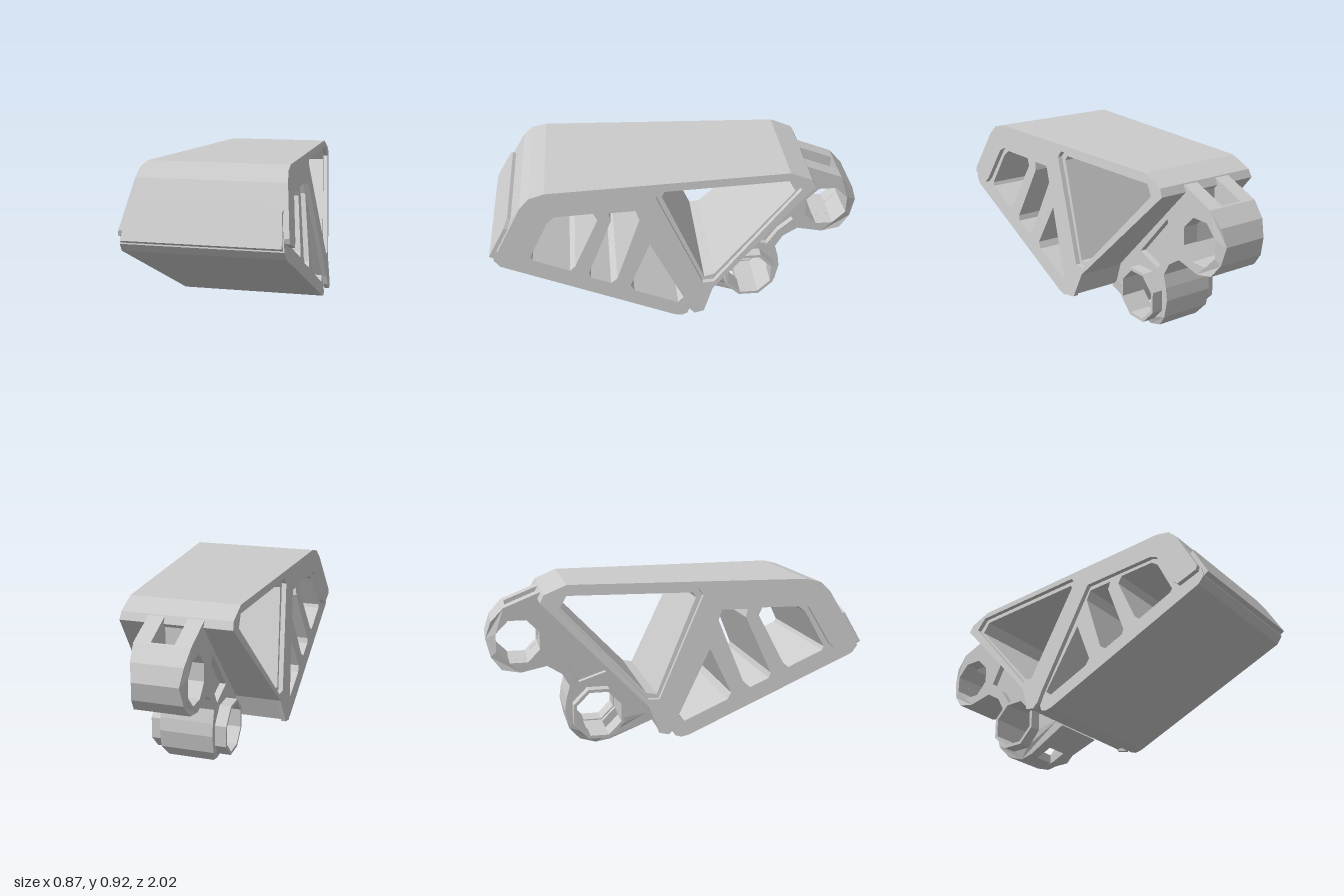
import * as THREE from 'three';

const mat = new THREE.MeshStandardMaterial({ color: 0xcccccc, flatShading: true });
const pts = (list) => list.map(([z, y]) => new THREE.Vector2(z, y));

// Ring of points around a pin centre
function ring(z, y, r, n = 8) {
  return Array.from({ length: n }, (_, i) => {
    const a = ((i + 0.5) / n) * Math.PI * 2;
    return [z + r * Math.cos(a), y + r * Math.sin(a)];
  });
}

// Side profile (z, y) carried across x between two width rules hi(z, y) and lo(z, y)
function prism(name, outline, holes, hi, lo) {
  const shape = new THREE.Shape(pts(outline));
  shape.holes = holes.map((h) => new THREE.Path(pts(h)));
  const geo = new THREE.ExtrudeGeometry(shape, { depth: 1, bevelEnabled: false });
  const p = geo.attributes.position;
  for (let i = 0; i < p.count; i++) {
    const z = p.getX(i), y = p.getY(i), t = p.getZ(i);
    p.setXYZ(i, THREE.MathUtils.lerp(hi(z, y), lo(z, y), t), y, z);
  }
  geo.computeVertexNormals();
  const mesh = new THREE.Mesh(geo, mat);
  mesh.name = name;
  return mesh;
}

// Same prism on both sides of the centre plane
function pair(name, outline, holes, outer, inner) {
  const neg = (f) => (z, y) => -f(z, y);
  return [
    prism(name + 'Left', outline, holes, outer, inner),
    prism(name + 'Right', outline, holes, neg(inner), neg(outer)),
  ];
}

export function createModel() {
  const group = new THREE.Group();
  group.name = 'bracket';

  // Tapered half widths of the side frames and of the inset core
  const frameW = (z, y) => 0.443 + 0.058 * z - 0.129 * y;
  const coreW = (z, y) => frameW(z, y) - 0.026;

  // Core with through windows
  const windows = [
    [[0.8, 0.55], [0.7, 0.74], [0.66, 0.77], [0.46, 0.77], [0.44, 0.73], [0.57, 0.47], [0.6, 0.445], [0.79, 0.53]],
    [[0.38, 0.765], [0.24, 0.765], [0.22, 0.71], [0.35, 0.37], [0.385, 0.345], [0.49, 0.39], [0.5, 0.42], [0.37, 0.72]],
    [[0.17, 0.56], [0.28, 0.32], [0.26, 0.285], [0.02, 0.18], [-0.01, 0.21]],
    [[0.1, 0.835], [0.085, 0.86], [-0.58, 0.86], [-0.615, 0.8], [-0.18, 0.34], [-0.125, 0.33]],
  ];
  const core = [
    [0.96, 0.51], [0.99, 0.55], [0.975, 0.6], [0.83, 0.85], [0.78, 0.9], [0.7, 0.92], [-0.58, 0.92], [-0.7, 0.87],
    [-0.72, 0.83], [-0.17, 0.27], [-0.12, 0.14], [-0.05, 0.15], [-0.03, 0.105], [0, 0.095], [0.04, 0.103],
  ];
  group.add(prism('bodyCore', core, windows, coreW, (z, y) => -coreW(z, y)));

  // Raised outer frames: top rail, front column, diagonal and rear triangle
  const frame = [
    [0.965, 0.61], [0.83, 0.85], [0.78, 0.9], [0.7, 0.92], [-0.58, 0.92], [-0.7, 0.87], [-0.72, 0.83],
    [-0.17, 0.27], [-0.12, 0.13], [-0.07, 0.12], [-0.04, 0.15], [-0.025, 0.2], [0.225, 0.76], [0.24, 0.79],
    [0.67, 0.79], [0.71, 0.77], [0.82, 0.575], [0.85, 0.545], [0.92, 0.57], [0.96, 0.585],
  ];
  const frameHole = [[0.135, 0.85], [0.11, 0.885], [-0.595, 0.885], [-0.645, 0.82], [-0.175, 0.31], [-0.115, 0.31]];
  group.add(...pair('sideFrame', frame, [frameHole], frameW, coreW));

  // Raised lip on the front slope
  const lip = new THREE.Mesh(
    new THREE.ExtrudeGeometry(
      new THREE.Shape(pts([[-0.395, 0], [0.395, 0], [0.375, 0.185], [0.33, 0.225], [-0.33, 0.225], [-0.375, 0.185]])),
      { depth: 0.03, bevelEnabled: false },
    ), mat);
  lip.name = 'frontLip';
  lip.rotation.x = -0.51;
  lip.position.set(0, 0.555, 0.985);
  group.add(lip);

  // Rear mount: two pin knuckles joined by a web, chamfered at the ends
  const upper = [-0.83, 0.6], lower = [-0.41, 0.19];
  const top = [[-0.14, 0.16], [-0.19, 0.31], [-0.66, 0.81], [-0.7, 0.865]];
  const back = [
    [-0.9, 0.785], [-0.97, 0.71], [-1, 0.62], [-0.975, 0.52], [-0.92, 0.45], [-0.82, 0.43], [-0.68, 0.46],
    [-0.6, 0.41], [-0.56, 0.34], [-0.58, 0.27], [-0.59, 0.2], [-0.57, 0.1], [-0.51, 0.03], [-0.42, 0],
  ];
  const end = [[-0.34, 0.015], [-0.1, 0.12]];
  const pocket = [[-0.58, 0.65], [-0.65, 0.52], [-0.57, 0.45], [-0.51, 0.36], [-0.36, 0.41]];
  const pins = [ring(...upper, 0.125), ring(...lower, 0.14)];
  const outline = [...top, ...back, ...end];
  const flat = (w) => () => w;
  const mountW = (z, y) => Math.min(0.145, 0.115 + 0.35 * y, 0.12 + 0.5 * (z + 1));
  group.add(...pair('mountCheek', outline, pins, flat(0.11), flat(0.06)));
  group.add(...pair('mountFace', outline, [...pins, pocket], mountW, flat(0.11)));

  // Middle slice, with slots opening into both pin holes
  const topSlot = [
    [-0.7, 0.65], [-0.715, 0.55], [-0.78, 0.485], [-0.88, 0.485], [-0.945, 0.55], [-0.945, 0.65], [-0.89, 0.71], [-0.89, 0.79],
  ];
  const o = pins[1];
  const lowSlot = [[-0.356, 0.013], o[6], o[5], o[4], o[3], o[2], o[1], o[0], o[7], [-0.26, 0.05], [-0.1, 0.12]];
  group.add(prism('mountMiddle', [...top, ...topSlot, ...back, ...lowSlot], [], flat(0.06), flat(-0.06)));

  // Thin bushings standing out of the lower pin hole
  group.add(...pair('bushing', ring(...lower, 0.15), [ring(...lower, 0.132)], flat(0.207), flat(0.09)));

  // Slight turn of the whole part
  group.rotation.y = 0.025;
  group.position.x = -0.014;
  const root = new THREE.Group();
  root.name = 'model';
  root.add(group);
  return root;
}
